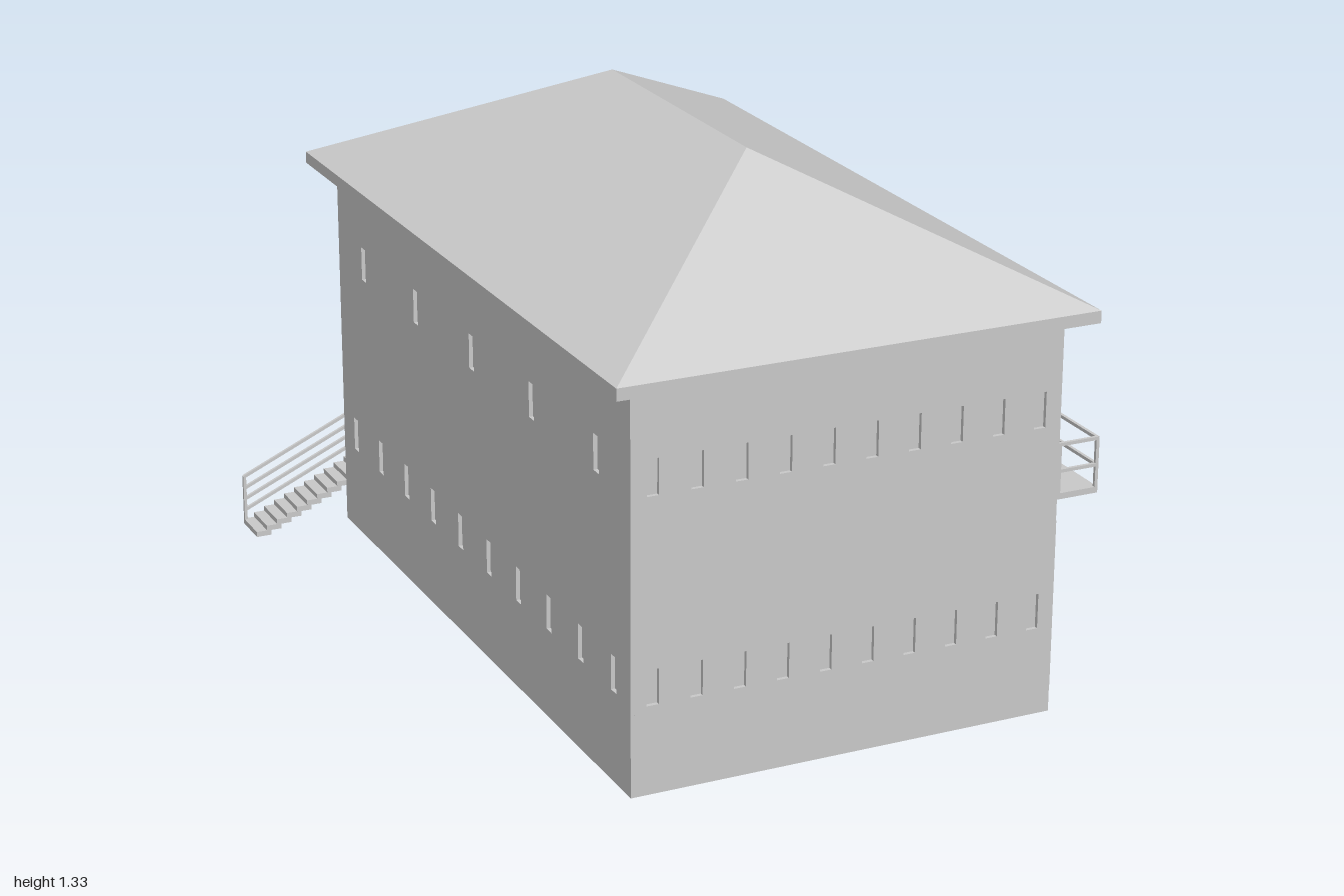
import * as THREE from 'three';

const mat = new THREE.MeshStandardMaterial({ color: 0xcccccc, flatShading: true, side: THREE.DoubleSide });

// Main dimensions
const X0 = -0.475, X1 = 0.615, Z0 = -0.89, Z1 = 0.94, Y0 = 0.015, Y1 = 1.0;
const CX = (X0 + X1) / 2, CZ = (Z0 + Z1) / 2;
const DEPTH = 0.01;

function add(parent, name, geometry) {
  const mesh = new THREE.Mesh(geometry, mat);
  mesh.name = name;
  parent.add(mesh);
  return mesh;
}

function box(parent, name, x0, x1, y0, y1, z0, z1) {
  const mesh = add(parent, name, new THREE.BoxGeometry(x1 - x0, y1 - y0, z1 - z0));
  mesh.position.set((x0 + x1) / 2, (y0 + y1) / 2, (z0 + z1) / 2);
  return mesh;
}

// Square bar between two points
function bar(parent, name, a, b, t = 0.008) {
  const from = new THREE.Vector3(...a), to = new THREE.Vector3(...b);
  const mesh = add(parent, name, new THREE.BoxGeometry(t, t, from.distanceTo(to) + t * 0.5));
  mesh.position.copy(from).lerp(to, 0.5);
  mesh.lookAt(to);
  return mesh;
}

// Outline of an opening, with optional cut corners
function outline(Type, { u, y, w, h, r = 0 }) {
  const l = u - w / 2, rt = u + w / 2, b = y - h / 2, t = y + h / 2;
  const pts = r
    ? [[l + r, b], [rt - r, b], [rt, b + r], [rt, t - r], [rt - r, t], [l + r, t], [l, t - r], [l, b + r]]
    : [[l, b], [rt, b], [rt, t], [l, t]];
  return new Type(pts.map(p => new THREE.Vector2(...p)));
}

// Wall with recessed openings; local x runs along it, local z points outward
function wall(parent, name, width, openings, x, z, turn) {
  const group = new THREE.Group();
  group.name = name;
  const shape = outline(THREE.Shape, { u: 0, y: (Y0 + Y1) / 2, w: width, h: Y1 - Y0 });
  shape.holes = openings.map(o => outline(THREE.Path, o));
  const panel = add(group, name + 'Panel', new THREE.ExtrudeGeometry(shape, { depth: DEPTH, bevelEnabled: false }));
  panel.position.z = -DEPTH;
  for (const o of openings) {
    const back = add(group, o.name, new THREE.ShapeGeometry(outline(THREE.Shape, o)));
    back.position.z = -DEPTH;
  }
  group.position.set(x, 0, z);
  group.rotation.y = turn;
  parent.add(group);
}

// Evenly spread row of small windows
function windowRow(count, width, y) {
  return Array.from({ length: count }, (_, i) => (
    { name: 'smallWindow', u: ((i + 0.5) / count - 0.5) * width, y, w: 0.03, h: 0.088 }));
}

function buildWalls(house) {
  const wx = X1 - X0, wz = Z1 - Z0;
  wall(house, 'frontWall', wx, [...windowRow(10, wx, 0.28), ...windowRow(10, wx, 0.785)], CX, Z1, 0);
  wall(house, 'backWall', wx, [...windowRow(5, wx, 0.28), ...windowRow(5, wx, 0.785)], CX, Z0, Math.PI);
  wall(house, 'rightWall', wz, [...windowRow(10, wz, 0.285), ...windowRow(5, wz, 0.785)], X0, CZ, -Math.PI / 2);

  // Balcony side: doors and two groups of tall slots on each floor
  const openings = [];
  for (const floor of [0.08, 0.575]) {
    for (const z of [0.8125, 0.125, -0.1, -0.785]) {
      openings.push({ name: 'door', u: CZ - z, y: floor + 0.17, w: 0.14, h: 0.34 });
    }
    for (const start of [0.676, -0.23]) {
      for (let i = 0; i < 10; i++) {
        openings.push({
          name: 'slotWindow', u: CZ - (start - i * 0.0455),
          y: floor < 0.3 ? 0.31 : 0.803, w: 0.028, h: 0.156, r: 0.005,
        });
      }
    }
  }
  wall(house, 'leftWall', wz, openings, X1, CZ, Math.PI / 2);

  // Thin vertical strips between the bays
  for (const z of [0.932, 0.705, 0.48, 0.253, 0.025, -0.66]) {
    for (const [b, t] of [[0.08, 0.5], [0.57, Y1]]) {
      box(house, 'wallStrip', X1 - 0.004, X1 + 0.004, b, t, z - 0.003, z + 0.003);
    }
  }
}

// Hipped roof on a flat eaves slab
function buildRoof(house) {
  const x0 = -0.535, x1 = 0.675, z0 = -0.955, z1 = 1, y = 1.03, top = 1.33;
  box(house, 'eaves', x0, x1, Y1, y, z0, z1);
  const a = [x0, y, z1], b = [x1, y, z1], c = [x1, y, z0], d = [x0, y, z0];
  const f = [0.07, top, 0.4], k = [0.07, top, -0.355];
  const tris = [a, b, f, b, c, k, b, k, f, c, d, k, d, a, f, d, f, k];
  const geometry = new THREE.BufferGeometry();
  geometry.setAttribute('position', new THREE.Float32BufferAttribute(tris.flat(), 3));
  geometry.computeVertexNormals();
  add(house, 'hippedRoof', geometry);
}

function buildBalcony(house) {
  const out = 0.72, floor = 0.57, top = 0.691, front = Z1 - 0.004, back = -0.996;
  const landing = 0.51;
  box(house, 'balconyFloor', X1, out + 0.004, 0.555, floor, Z0, Z1);
  box(house, 'landingFloor', landing, out + 0.004, 0.555, floor, -1, Z0);

  // Long railing and its front return
  for (const y of [top, 0.625]) {
    bar(house, 'balconyRail', [out, y, front], [out, y, Z0]);
    bar(house, 'balconyEndRail', [X1, y, front], [out, y, front]);
  }
  // Closer rails around the landing
  for (const y of [top, 0.655, 0.618, 0.585]) {
    bar(house, 'landingSideRail', [out, y, Z0], [out, y, back]);
    bar(house, 'landingBackRail', [out, y, back], [landing, y, back]);
  }
  for (const [x, z] of [[out, front], [X1 + 0.004, front], [out, Z0], [out, back], [landing, back]]) {
    bar(house, 'railPost', [x, floor - 0.01, z], [x, top, z]);
  }
}

// Straight stair along the back wall
function buildStairs(house) {
  const xTop = 0.51, xEnd = -0.73, count = 43;
  const run = (xTop - xEnd) / count, rise = 0.57 / count;
  for (let i = 0; i < count; i++) {
    const x = xEnd + i * run, y = i * rise;
    box(house, 'stairTread', x, Math.min(x + run + 0.012, xTop + 0.01), y, y + rise + 0.001, -1, Z0 - 0.005);
  }
  const z = -0.996, foot = xEnd + 0.004;
  for (const h of [0.137, 0.104, 0.073, 0.042]) {
    bar(house, 'stairRail', [foot, h, z], [xTop, h + 0.554, z]);
  }
  bar(house, 'stairFootPost', [foot, 0.004, z], [foot, 0.137, z]);
}

export function createModel() {
  const house = new THREE.Group();
  house.name = 'twoStoreyBuilding';
  buildWalls(house);
  buildRoof(house);
  buildBalcony(house);
  buildStairs(house);
  return house;
}
